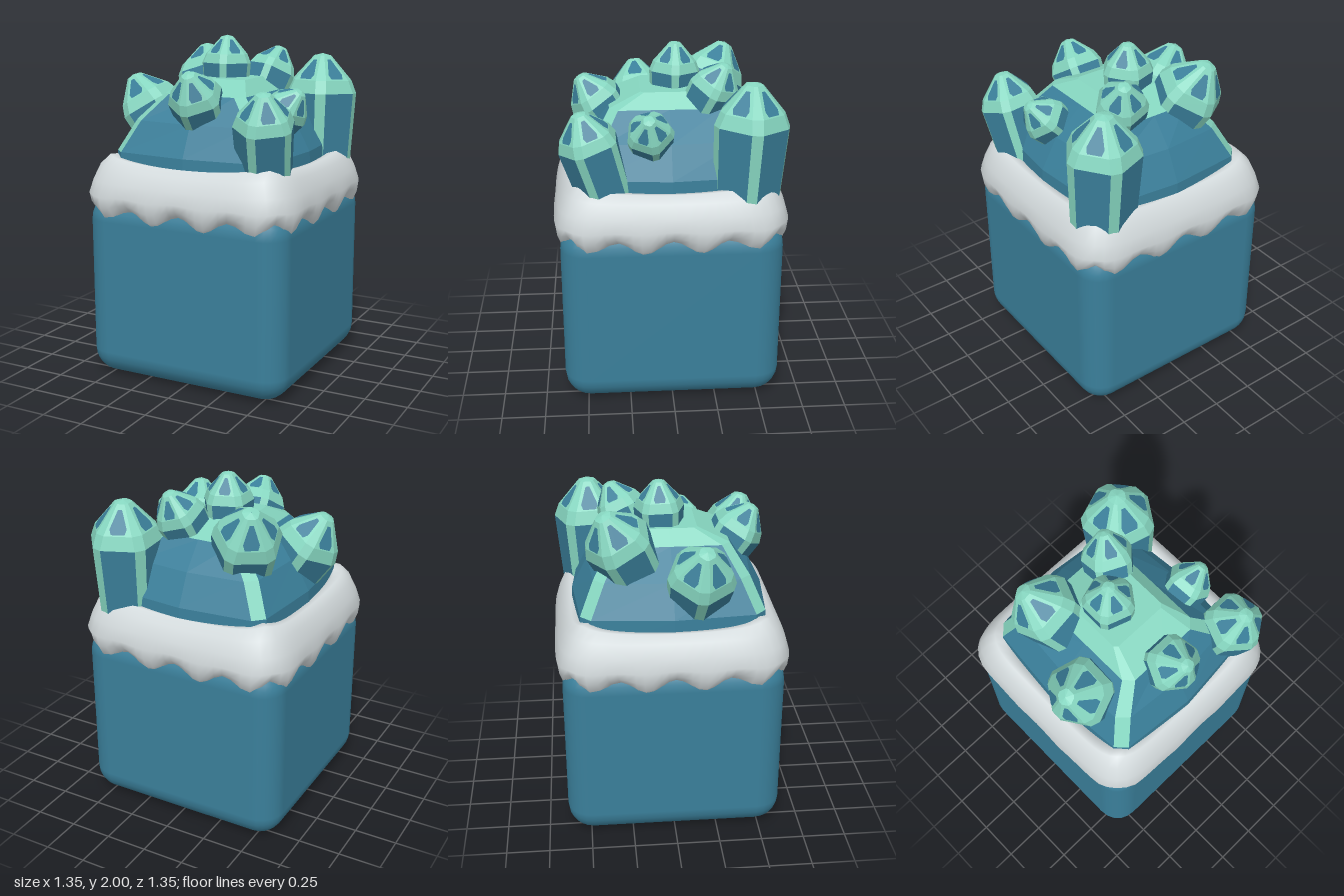
import * as THREE from 'three';
import { RoundedBoxGeometry } from 'three/addons/geometries/RoundedBoxGeometry.js';

const material = (name, color, side = THREE.FrontSide) => {
  const m = new THREE.MeshStandardMaterial({ color, side });
  m.name = name;
  return m;
};

// Faceted geometry from convex polygons, one group per colour (0 blue, 1 mint)
function facets(faces) {
  const pos = [], geo = new THREE.BufferGeometry();
  for (const colour of [0, 1]) {
    const start = pos.length / 3;
    for (const { pts, c } of faces) {
      if (c !== colour) continue;
      for (let i = 1; i < pts.length - 1; i++) {
        for (const p of [pts[0], pts[i], pts[i + 1]]) pos.push(p.x, p.y, p.z);
      }
    }
    geo.addGroup(start, pos.length / 3 - start, colour);
  }
  geo.setAttribute('position', new THREE.Float32BufferAttribute(pos, 3));
  geo.computeVertexNormals();
  return geo;
}

// Join rings bottom to top; colourOf(row, column) picks the colour
function skin(rings, colourOf) {
  const faces = [];
  for (let j = 0; j < rings.length - 1; j++) {
    const a = rings[j], b = rings[j + 1], n = a.length;
    for (let i = 0; i < n; i++) {
      const k = (i + 1) % n;
      faces.push({ pts: [a[i], a[k], b[k], b[i]], c: colourOf(j, i) });
    }
  }
  return faces;
}

// Five-sided crystal with mint bevels, shoulder and tip, and blue panels
function crystalGeometry(length, r) {
  const ring = (rad, y, bevel) => {
    const pts = [];
    for (let k = 0; k < 5; k++) {
      for (const s of [-1, 1]) {
        const t = k * Math.PI * 2 / 5 + s * bevel;
        pts.push(new THREE.Vector3(Math.sin(t) * rad, y, Math.cos(t) * rad));
      }
    }
    return pts;
  };
  const rings = [
    ring(r * 0.9, 0, 0.15),
    ring(r, length - r * 1.1, 0.15),
    ring(r * 0.85, length - r * 0.74, 0.17),
    ring(r * 0.24, length - r * 0.06, 0.2),
    ring(0.001, length, 0.2),
  ];
  const faces = skin(rings, (j, i) => (j === 0 && i % 2 === 1 ? 0 : 1));
  // Painted panels on the sloping cap
  const outline = [[0.25, 0.04], [0.75, 0.04], [0.86, 0.22], [0.68, 0.82], [0.32, 0.82], [0.14, 0.22]];
  for (let i = 1; i < 10; i += 2) {
    const k = (i + 1) % 10;
    const [a, b, c, d] = [rings[2][i], rings[2][k], rings[3][k], rings[3][i]];
    const normal = b.clone().sub(a).cross(d.clone().sub(a)).normalize().multiplyScalar(0.003);
    const pts = outline.map(([s, t]) =>
      a.clone().lerp(b, s).lerp(d.clone().lerp(c, s), t).add(normal));
    faces.push({ pts, c: 0 });
  }
  return facets(faces);
}

// Mound: squarish rings with bevelled corners and bulging sides
function moundGeometry() {
  const ring = ([hx, hz, y, bevel, bulge]) => {
    const pts = [];
    for (const [sx, sz] of [[1, 1], [1, -1], [-1, -1], [-1, 1]]) {
      const alongX = new THREE.Vector3(sx * (hx - bevel), y, sz * hz);
      const alongZ = new THREE.Vector3(sx * hx, y, sz * (hz - bevel));
      pts.push(...(sx * sz > 0 ? [alongX, alongZ] : [alongZ, alongX]));
      // middle of the next side
      pts.push(sx * sz > 0
        ? new THREE.Vector3(sx * (hx + bulge), y, 0)
        : new THREE.Vector3(0, y, sz * (hz + bulge)));
    }
    return pts;
  };
  const rings = [
    [0.5, 0.53, 1.15, 0.06, 0.04],
    [0.49, 0.52, 1.35, 0.06, 0.04],
    [0.4, 0.44, 1.53, 0.06, 0.03],
    [0.26, 0.34, 1.68, 0.05, 0],
    [0.18, 0.16, 1.76, 0.02, 0],
  ].map(ring);
  const faces = skin(rings, (j, i) => (j === 3 || (j > 0 && i % 3 === 0) ? 1 : 0));
  faces.push({ pts: rings[4], c: 1 });
  return facets(faces);
}

// Snow collar: soft rounded-square ring with a scalloped lower edge
function collarGeometry() {
  const profile = [
    [0.46, 1.24], [0.53, 1.3], [0.57, 1.305], [0.615, 1.26], [0.65, 1.18],
    [0.672, 1.1], [0.662, 1.04], [0.64, 0.99], [0.615, 0.965], [0.5, 1.0],
  ];
  const around = 96, pos = [], index = [], n = profile.length;
  for (let i = 0; i < around; i++) {
    const t = i / around * Math.PI * 2, s = Math.sin(t), c = Math.cos(t);
    const big = Math.max(Math.abs(s), Math.abs(c));
    const square = Math.pow(Math.abs(s) ** 6.3 + Math.abs(c) ** 6.3, -1 / 6.3);
    const u = Math.min(Math.abs(s), Math.abs(c)) / big;      // 0 mid side, 1 corner
    const wave = Math.cos(u * 0.66 * Math.PI * 2 / 0.335);
    profile.forEach(([rad, y], j) => {
      const low = THREE.MathUtils.smoothstep(j, 4, 8);
      const high = 1 - THREE.MathUtils.smoothstep(j, 1, 5);
      const r = (rad - 0.008 * wave * low) * square;
      const yy = y + (0.022 + 0.036 * wave) * low + (u * u * 0.05 - 0.018) * high;
      pos.push(s * r, yy, c * r);
      const k = (i + 1) % around, m = (j + 1) % n;
      index.push(i * n + j, i * n + m, k * n + j, k * n + j, i * n + m, k * n + m);
    });
  }
  const geo = new THREE.BufferGeometry();
  geo.setAttribute('position', new THREE.Float32BufferAttribute(pos, 3));
  geo.setIndex(index);
  geo.computeVertexNormals();
  return geo;
}

export function createModel() {
  const group = new THREE.Group();
  const blue = material('deep blue', 0x3a7f9a);
  const mint = material('mint', 0x86d6c0);
  const snow = material('snow white', 0xd3dadc, THREE.DoubleSide);
  const add = (name, geo, mat) => {
    const mesh = new THREE.Mesh(geo, mat);
    mesh.name = name;
    group.add(mesh);
    return mesh;
  };

  add('body', new RoundedBoxGeometry(1.27, 1.1, 1.27, 3, 0.15), blue).position.y = 0.55;
  add('snowCollar', collarGeometry(), snow);
  add('mound', moundGeometry(), [blue, mint]);

  // Crystals: base point, tip point, radius, spin
  const up = new THREE.Vector3(0, 1, 0);
  const crystals = [
    [[-0.2, 1.47, -0.18], [-0.35, 1.91, -0.38], 0.2, 0.6],
    [[0.42, 1.22, -0.42], [0.42, 1.88, -0.45], 0.215, 0.35],
    [[0.12, 1.58, -0.17], [0.2, 1.92, -0.33], 0.15, 0.2],
    [[-0.03, 1.65, -0.04], [-0.03, 2.0, -0.05], 0.148, 0.3],
    [[-0.33, 1.38, 0.14], [-0.56, 1.76, 0.17], 0.195, 0.9],
    [[0.34, 1.5, 0.11], [0.53, 1.71, 0.13], 0.135, 0.5],
    [[0, 1.5, 0.3], [0.01, 1.82, 0.51], 0.16, 0],
    [[0.42, 1.22, 0.36], [0.47, 1.74, 0.51], 0.175, 0],
  ];
  crystals.forEach(([base, tip, radius, spin], i) => {
    const from = new THREE.Vector3(...base);
    const axis = new THREE.Vector3(...tip).sub(from);
    const mesh = add(`crystal${i + 1}`, crystalGeometry(axis.length(), radius), [blue, mint]);
    mesh.position.copy(from);
    mesh.quaternion.setFromUnitVectors(up, axis.clone().normalize());
    mesh.rotateY(spin);
  });
  return group;
}
